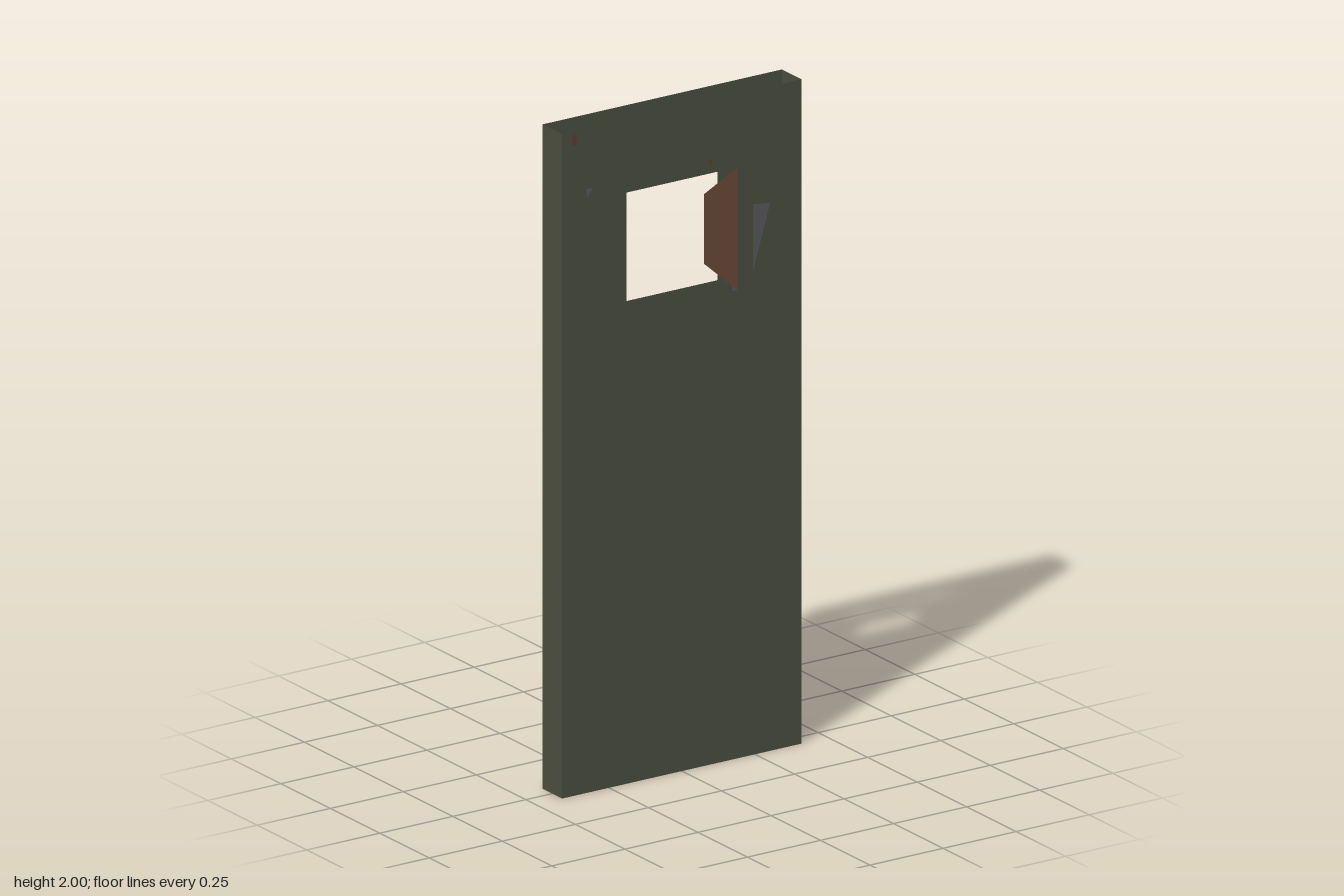
import * as THREE from 'three';

const W = 0.41, H = 2, D = 0.05;

const material = (name, color) =>
  new THREE.MeshStandardMaterial({ name, color, side: THREE.DoubleSide });

export function createModel() {
  const olive = material('olive paint', 0x4a4e3d);
  const brown = material('brown rust', 0x5c3f30);
  const grey = material('grey metal', 0x58585b);

  const door = new THREE.Group();
  door.name = 'door';

  const points = (list, s = 1) => list.map(([x, y]) => new THREE.Vector2(x * s, y));
  const rect = (x0, y0, x1, y1) => [[x0, y0], [x1, y0], [x1, y1], [x0, y1]];
  const opening = rect(-0.19, 1.41, 0.19, 1.78);

  const add = (parent, name, geometry, mat) => {
    const mesh = new THREE.Mesh(geometry, mat);
    mesh.name = name;
    parent.add(mesh);
    return mesh;
  };

  // Sheet with a window opening and flush worn patches let into it
  function panel(name, side, patches) {
    const group = new THREE.Group();
    group.name = name;
    const sheet = new THREE.Shape(points(rect(-W, 0, W, H), side));
    sheet.holes.push(new THREE.Path(points(opening, side)));
    for (const p of patches) {
      sheet.holes.push(new THREE.Path(points(p.outline, side)));
      const patch = new THREE.Shape(points(p.outline, side));
      add(group, p.name, new THREE.ShapeGeometry(patch), p.mat);
    }
    add(group, name + 'Sheet', new THREE.ShapeGeometry(sheet), olive);
    group.position.z = side * D;
    if (side < 0) group.rotation.y = Math.PI;
    door.add(group);
  }

  panel('frontPanel', 1, [
    { name: 'latchPatch', mat: grey, outline: [[0.243, 1.455], [0.302, 1.65], [0.243, 1.657]] },
    { name: 'smallGreyPatch', mat: grey, outline: [[-0.325, 1.79], [-0.305, 1.815], [-0.328, 1.82]] },
    { name: 'smallBrownPatch', mat: brown, outline: [[0.098, 1.79], [0.106, 1.82], [0.09, 1.82]] },
    { name: 'cornerBrownPatch', mat: brown, outline: rect(-0.375, 1.957, -0.361, 1.995) },
  ]);

  panel('backPanel', -1, [
    {
      name: 'latchPlate', mat: grey,
      outline: [[0.24, 1.08], [0.395, 1.08], [0.395, 1.65], [0.285, 1.65], [0.318, 1.36], [0.24, 1.51]],
    },
  ]);

  // Side edges; the top and bottom stay open
  for (const s of [-1, 1]) {
    const edge = add(door, s > 0 ? 'leftEdge' : 'rightEdge', new THREE.PlaneGeometry(2 * D, H), olive);
    edge.position.set(s * W, H / 2, 0);
    edge.rotation.y = s * Math.PI / 2;
  }

  // Slanted inner jamb of the window
  const jamb = new THREE.BufferGeometry();
  jamb.setAttribute('position', new THREE.Float32BufferAttribute([
    0.11, 1.49, 0, 0.19, 1.41, D, 0.19, 1.78, D, 0.11, 1.70, 0,
  ], 3));
  jamb.setIndex([0, 1, 2, 0, 2, 3]);
  jamb.computeVertexNormals();
  add(door, 'windowJamb', jamb, brown);

  return door;
}
